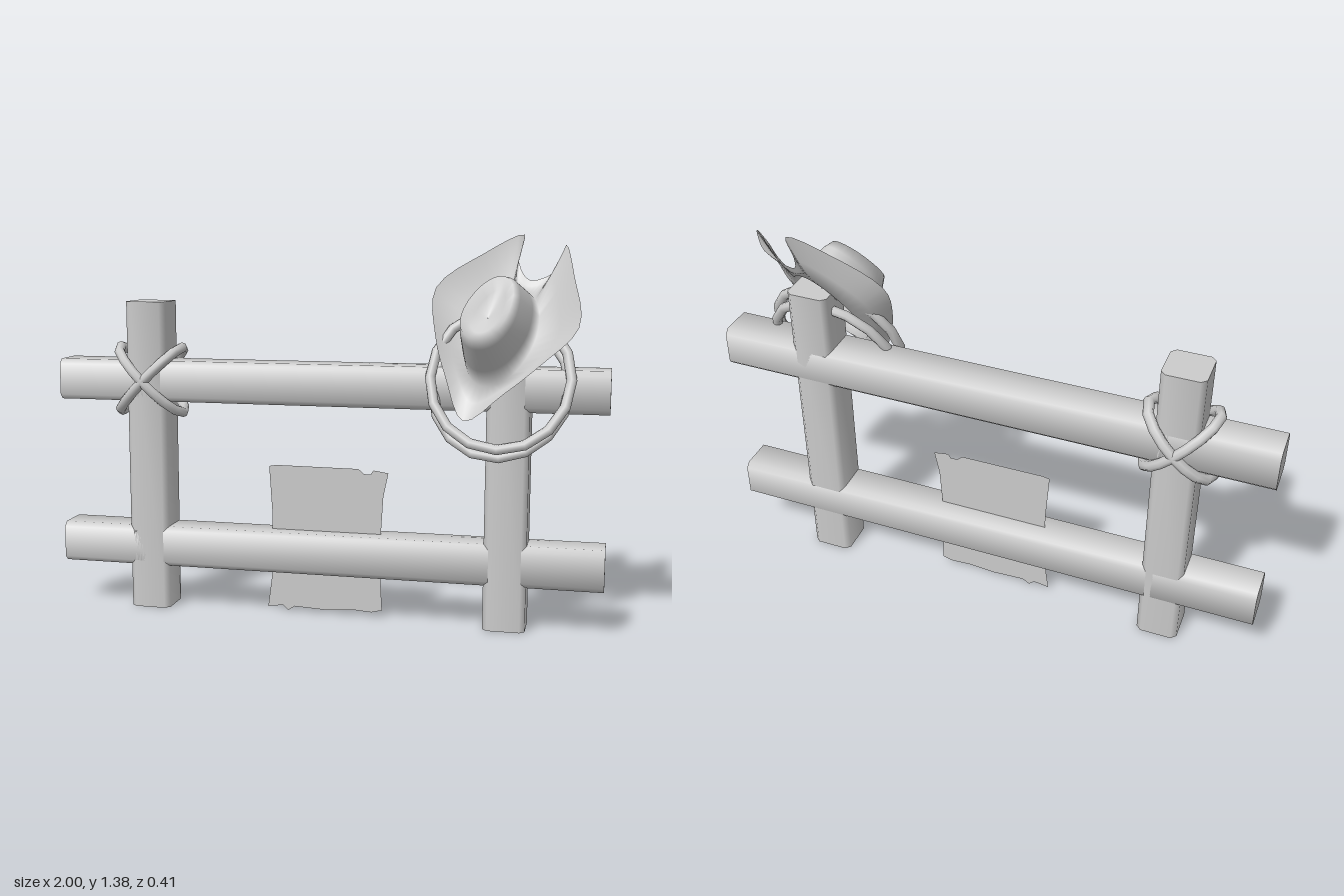
import * as THREE from 'three';
import { toCreasedNormals } from 'three/addons/utils/BufferGeometryUtils.js';

const V = (x, y, z) => new THREE.Vector3(x, y, z);
const MID_Z = -0.075; // centre plane of the fence

export function createModel() {
  const group = new THREE.Group();
  const grey = new THREE.MeshStandardMaterial({ color: 0xcccccc });
  const thin = new THREE.MeshStandardMaterial({ color: 0xcccccc, side: THREE.DoubleSide });

  const add = (name, geometry, material = grey) => {
    const mesh = new THREE.Mesh(geometry, material);
    mesh.name = name;
    group.add(mesh);
    return mesh;
  };

  // Square timber with chamfered long edges, lying along z and centred
  const timber = (length) => {
    const h = 0.075, c = h - 0.018;
    const outline = [[-c, -h], [c, -h], [h, -c], [h, c], [c, h], [-c, h], [-h, c], [-h, -c]];
    const shape = new THREE.Shape(outline.map(([x, y]) => new THREE.Vector2(x, y)));
    const geo = new THREE.ExtrudeGeometry(shape, { depth: length, bevelEnabled: false });
    geo.translate(0, 0, -length / 2);
    return toCreasedNormals(geo, 0.9);
  };

  // Posts
  for (const [name, x] of [['rightPost', -0.663], ['leftPost', 0.657]]) {
    add(name, timber(1.145).rotateX(-Math.PI / 2).translate(x, 0.5725, MID_Z));
  }
  // Rails
  for (const [name, y] of [['lowerRail', 0.235], ['upperRail', 0.855]]) {
    add(name, timber(2).rotateY(Math.PI / 2).translate(0, y, MID_Z));
  }

  // Closed rope loop: ellipse spanned by two half-axis vectors
  const ropeLoop = (name, center, a, b, radius) => {
    const pts = [];
    for (let i = 0; i < 16; i++) {
      const t = (i / 16) * Math.PI * 2;
      pts.push(center.clone().addScaledVector(a, Math.cos(t)).addScaledVector(b, Math.sin(t)));
    }
    const curve = new THREE.CatmullRomCurve3(pts, true);
    add(name, new THREE.TubeGeometry(curve, 16, radius, 8, true));
  };

  // Crossed lashing on one post
  for (const side of [-1, 1]) {
    ropeLoop('lashing', V(-0.665, 0.855, MID_Z), V(0.12 * side, 0.12, 0), V(0, 0, 0.107), 0.019);
  }
  // Coiled rope hanging on the other post
  ropeLoop('coiledRope', V(0.63, 0.9, 0.02), V(0.24, 0, 0), V(0, 0.232, -0.085), 0.018);
  ropeLoop('coiledRope', V(0.63, 0.86, -0.01), V(0.232, 0.01, 0), V(0, 0.225, -0.085), 0.018);

  // Paper notice with ragged ends, slotted through the lower rail
  const paper = [
    [-0.215, 0.545], [-0.19, 0.55], [0.12, 0.548], [0.14, 0.53], [0.165, 0.53], [0.175, 0.545], [0.23, 0.537],
    [0.212, 0.45], [0.205, 0.33], [0.2, 0.2], [0.21, 0.025], [0.17, 0.015], [0.1, 0.02], [0, 0.012],
    [-0.12, 0.018], [-0.145, 0.002], [-0.165, 0.02], [-0.222, 0.012], [-0.205, 0.14], [-0.203, 0.36],
  ].map(([x, y]) => new THREE.Vector2(x, y));
  add('paperNotice', new THREE.ShapeGeometry(new THREE.Shape(paper)).translate(0, 0, MID_Z), thin);

  add('hat', hatGeometry(), thin);
  return group;
}

// Hat in its own frame: x sideways, y out of the crown, z towards the brim tip
function hatGeometry() {
  const COLS = 56;
  // Half outline of the brim, from front tip to the notch at the back
  const brimHalf = [
    [0, 0, 0.317], [0.112, 0.045, 0.2], [0.2, 0.075, 0.08], [0.275, 0.085, -0.085],
    [0.175, 0.065, -0.26], [0.08, 0.03, -0.382], [0.082, 0, -0.31], [0, 0, -0.235],
  ];
  // Matching directions on the crown, in degrees from the front
  const angles = [0, 30, 58, 95, 128, 150, 163, 180];

  const loop = (half) => {
    const mirrored = half.slice(1, -1).reverse().map(([x, y, z]) => [-x, y, z]);
    const pts = [...half, ...mirrored].map((p) => V(...p));
    const curve = new THREE.CatmullRomCurve3(pts, true);
    return Array.from({ length: COLS }, (_, i) => curve.getPoint(i / COLS));
  };
  // Oval ring: half width, front and back reach, height at front and back, side lift
  const oval = (w, front, back, yFront, yBack, lift = 0) => loop(angles.map((deg) => {
    const a = THREE.MathUtils.degToRad(deg), c = Math.cos(a), s = Math.sin(a);
    return [w * s, THREE.MathUtils.lerp(yBack, yFront, (c + 1) / 2) + lift * s * s, c * (c > 0 ? front : back)];
  }));

  const brim = loop(brimHalf);
  const seam = oval(0.115, 0.18, 0.19, 0, 0);
  const middle = brim.map((p, i) => {
    const m = p.clone().lerp(seam[i], 0.5);
    m.y -= 0.18 * Math.abs(p.y);
    return m;
  });
  const rings = [
    brim, middle, seam,
    oval(0.108, 0.155, 0.18, 0.07, 0.06),
    oval(0.09, 0.12, 0.165, 0.17, 0.15),
    oval(0.078, 0.1, 0.15, 0.21, 0.185, 0.005),
    oval(0.045, 0.07, 0.11, 0.195, 0.165),
    oval(0.001, 0.001, 0.001, 0.165, 0.165),
  ];

  const index = [];
  for (let r = 0; r < rings.length - 1; r++) {
    for (let i = 0; i < COLS; i++) {
      const j = (i + 1) % COLS;
      const a = r * COLS + i, b = r * COLS + j, c = a + COLS, d = b + COLS;
      index.push(a, b, c, b, d, c);
    }
  }
  const geo = new THREE.BufferGeometry().setFromPoints(rings.flat());
  geo.setIndex(index);

  // Tip the hat so that it leans against the post top
  const out = V(-0.215, 0.484, 0.836).normalize();
  const front = V(-0.36, -0.85, 0.4).normalize();
  const sideways = out.clone().cross(front).normalize();
  front.crossVectors(sideways, out);
  geo.applyMatrix4(new THREE.Matrix4().makeBasis(sideways, out, front).setPosition(0.63, 1.03, -0.02));
  geo.computeVertexNormals();
  return geo;
}
